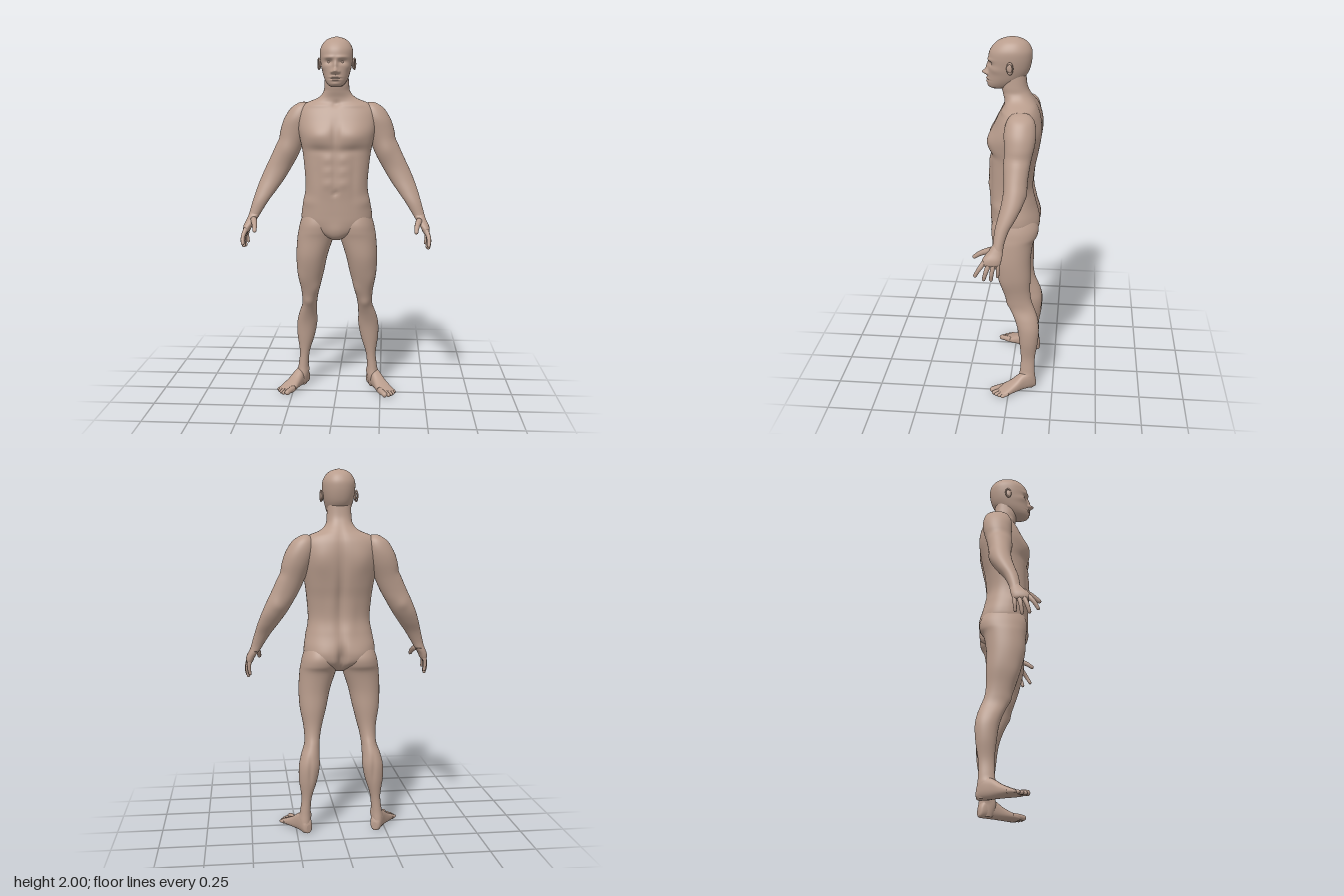
import * as THREE from 'three';

const skin = new THREE.MeshStandardMaterial({ color: 0xb99d8d });
skin.name = 'skin';

// Closed smooth surface through a stack of equal-sized rings of points
function skinRings(rings) {
  const n = rings[0].length, pos = [], idx = [];
  rings.forEach(r => r.forEach(p => pos.push(p.x, p.y, p.z)));
  for (let i = 0; i < rings.length - 1; i++) for (let j = 0; j < n; j++) {
    const a = i * n + j, b = i * n + (j + 1) % n;
    idx.push(a, a + n, b, b, a + n, b + n);
  }
  [0, rings.length - 1].forEach(i => {
    const c = new THREE.Vector3();
    rings[i].forEach(p => c.addScaledVector(p, 1 / n));
    const k = pos.length / 3;
    pos.push(c.x, c.y, c.z);
    for (let j = 0; j < n; j++) {
      const a = i * n + j, b = i * n + (j + 1) % n;
      if (i === 0) idx.push(k, a, b); else idx.push(k, b, a);
    }
  });
  // turn all faces outward, whichever way the rings run
  const P = i => new THREE.Vector3().fromArray(pos, i * 3);
  let vol = 0;
  for (let i = 0; i < idx.length; i += 3) vol += P(idx[i]).dot(P(idx[i + 1]).cross(P(idx[i + 2])));
  if (vol < 0) idx.reverse();
  const g = new THREE.BufferGeometry();
  g.setAttribute('position', new THREE.Float32BufferAttribute(pos, 3));
  g.setIndex(idx);
  g.computeVertexNormals();
  return g;
}

function spline(rows, t) {
  const f = t * (rows.length - 1), i = Math.min(Math.floor(f), rows.length - 2), u = f - i;
  const R = k => rows[Math.max(0, Math.min(rows.length - 1, k))];
  return R(i).map((b, c) => {
    const a = R(i - 1)[c], d = R(i + 1)[c], e = R(i + 2)[c];
    return b + 0.5 * u * (d - a + u * (2 * a - 5 * b + 4 * d - e + u * (3 * (b - d) + e - a)));
  });
}

// Loft rows [y, xMin, xMax, zFront, zBack]; bumps [x, y, z, rx, ry, rz, push]
function loft(rows, { bumps = [], power = 2.3, segs = 48, steps = 6, map = p => p, mirrorBumps = false } = {}) {
  const rings = [], count = (rows.length - 1) * steps;
  const pw = v => Math.sign(v) * Math.abs(v) ** (2 / power);
  for (let i = 0; i <= count; i++) {
    const [y, x0, x1, zf, zb] = spline(rows, i / count);
    const cx = (x0 + x1) / 2, cz = (zf + zb) / 2, ring = [];
    for (let j = 0; j < segs; j++) {
      const a = j / segs * Math.PI * 2;
      const p = new THREE.Vector3(cx + pw(Math.cos(a)) * (x1 - x0) / 2, y, cz + pw(Math.sin(a)) * (zf - zb) / 2);
      const out = new THREE.Vector3(p.x - cx, 0, p.z - cz).normalize();
      let push = 0;
      for (const [bx, by, bz, rx, ry, rz, amp] of bumps) {
        const dx = (mirrorBumps ? Math.abs(p.x) : p.x) - bx;
        push += amp * Math.exp(-((dx / rx) ** 2) - ((y - by) / ry) ** 2 - ((p.z - bz) / rz) ** 2);
      }
      ring.push(map(p.addScaledVector(out, push)));
    }
    rings.push(ring);
  }
  return skinRings(rings);
}

// Tapered round-ended digit along a curve
function digit(points, r0, r1) {
  const curve = new THREE.CatmullRomCurve3(points), rings = [], N = 16, tc = 1 - r1 / curve.getLength();
  for (let i = 0; i <= N; i++) {
    const t = Math.sin(i / N * Math.PI / 2), c = curve.getPointAt(t), d = curve.getTangentAt(t);
    const u = new THREE.Vector3(1, 0, 0).cross(d).normalize(), v = d.clone().cross(u);
    const e = Math.max(0, (t - tc) / (1 - tc));
    const r = (r0 + (r1 - r0) * t) * Math.sqrt(Math.max(0.0004, 1 - e * e));
    rings.push(Array.from({ length: 12 }, (_, j) => {
      const a = j / 12 * Math.PI * 2;
      return c.clone().addScaledVector(u, Math.cos(a) * r).addScaledVector(v, Math.sin(a) * r);
    }));
  }
  return skinRings(rings);
}

const both = rows => rows.map(([y, w, zf, zb]) => [y, -w, w, zf, zb]);

const torsoRows = both([[0.9, 0.03, 0.075, -0.04], [0.92, 0.07, 0.098, -0.09], [0.955, 0.15, 0.11, -0.138], [1, 0.192, 0.116, -0.15],
  [1.05, 0.195, 0.118, -0.148], [1.12, 0.18, 0.12, -0.13], [1.2, 0.171, 0.124, -0.113], [1.3, 0.178, 0.12, -0.122], [1.38, 0.188, 0.116, -0.14],
  [1.44, 0.2, 0.122, -0.15], [1.5, 0.212, 0.115, -0.155], [1.56, 0.216, 0.09, -0.155], [1.61, 0.208, 0.065, -0.148], [1.645, 0.175, 0.045, -0.135],
  [1.675, 0.105, 0.042, -0.118], [1.71, 0.073, 0.05, -0.095], [1.75, 0.067, 0.056, -0.078], [1.82, 0.062, 0.05, -0.07]]);
const torsoBumps = [
  [0.09, 1.47, 0.12, 0.07, 0.05, 0.06, 0.016], [0.09, 1.395, 0.12, 0.08, 0.02, 0.06, -0.006], [0, 1.48, 0.13, 0.018, 0.08, 0.06, -0.014], // chest
  [0.04, 1.345, 0.12, 0.03, 0.026, 0.05, 0.006], [0.04, 1.28, 0.12, 0.03, 0.026, 0.05, 0.006], [0.04, 1.215, 0.12, 0.03, 0.026, 0.05, 0.006],
  [0, 1.28, 0.12, 0.012, 0.12, 0.05, -0.006], [0, 1.165, 0.125, 0.014, 0.014, 0.05, -0.01], [0.1, 1.25, 0.11, 0.02, 0.12, 0.05, -0.005], // belly
  [0.15, 1.11, 0.05, 0.05, 0.03, 0.08, 0.007], [0, 0.95, 0.1, 0.04, 0.045, 0.05, 0.008], // flank and groin
  [0.1, 1.52, -0.15, 0.06, 0.08, 0.06, 0.013], [0, 1.36, -0.13, 0.022, 0.24, 0.06, -0.02], [0.055, 1.22, -0.12, 0.03, 0.12, 0.05, 0.006], // back
  [0.09, 0.99, -0.14, 0.07, 0.06, 0.06, 0.012], [0, 0.97, -0.15, 0.018, 0.075, 0.09, -0.045], // seat
  [0.1, 1.635, 0.04, 0.08, 0.012, 0.04, 0.007], [0, 1.64, 0.05, 0.018, 0.018, 0.03, -0.009] // collarbones
];

const headRows = both([[1.732, 0.02, 0.105, 0.05], [1.742, 0.04, 0.122, 0.01], [1.76, 0.054, 0.128, -0.02], [1.785, 0.066, 0.128, -0.055],
  [1.815, 0.075, 0.126, -0.08], [1.85, 0.083, 0.123, -0.094], [1.895, 0.089, 0.125, -0.102], [1.935, 0.087, 0.115, -0.1],
  [1.97, 0.069, 0.086, -0.08], [1.99, 0.043, 0.05, -0.048], [2, 0.01, 0.01, -0.01]]);
const headBumps = [
  [0, 1.816, 0.13, 0.014, 0.014, 0.05, 0.031], [0, 1.845, 0.13, 0.011, 0.024, 0.05, 0.015], [0.017, 1.811, 0.125, 0.008, 0.008, 0.04, 0.01], // nose
  [0.035, 1.865, 0.115, 0.02, 0.012, 0.04, -0.014], [0.033, 1.888, 0.12, 0.03, 0.009, 0.04, 0.006], [0.06, 1.84, 0.08, 0.02, 0.02, 0.04, 0.005], // eyes, cheeks
  [0, 1.785, 0.13, 0.024, 0.006, 0.04, 0.011], [0, 1.77, 0.13, 0.021, 0.006, 0.04, 0.01], [0, 1.7775, 0.13, 0.028, 0.003, 0.04, -0.006], // lips
  [0, 1.75, 0.125, 0.022, 0.012, 0.04, 0.005]
];

const armRows = [[1.652, 0.175, 0.2, -0.04, -0.08], [1.643, 0.155, 0.222, -0.01, -0.105], [1.615, 0.135, 0.26, 0.012, -0.128], [1.565, 0.135, 0.29, 0.025, -0.138],
  [1.5, 0.155, 0.313, 0.022, -0.133], [1.42, 0.19, 0.34, 0.018, -0.116], [1.35, 0.222, 0.371, 0.018, -0.106], [1.29, 0.256, 0.4, 0.018, -0.1],
  [1.23, 0.292, 0.426, 0.026, -0.086], [1.17, 0.334, 0.448, 0.04, -0.056], [1.11, 0.378, 0.466, 0.054, -0.02], [1.05, 0.416, 0.483, 0.06, 0.002], [1.01, 0.44, 0.494, 0.066, 0.008]];
const armBumps = [[0.27, 1.39, 0.02, 0.04, 0.05, 0.04, 0.008], [0.32, 1.45, -0.06, 0.03, 0.025, 0.08, -0.006],
  [0.28, 1.53, -0.06, 0.06, 0.05, 0.1, 0.004], [0.34, 1.27, -0.1, 0.03, 0.03, 0.03, 0.006]];
const palmRows = [[1.045, 0.425, 0.482, 0.058, 0.01], [1.01, 0.442, 0.497, 0.083, 0.008], [0.98, 0.462, 0.511, 0.108, 0.012],
  [0.955, 0.474, 0.514, 0.114, 0.018], [0.942, 0.482, 0.508, 0.106, 0.026]];
// digits: three joints, then base and tip radius
const fingers = {
  thumb: [[0.456, 1.012, 0.07], [0.443, 0.988, 0.122], [0.437, 0.956, 0.166], 0.018, 0.01],
  indexFinger: [[0.493, 0.965, 0.098], [0.507, 0.925, 0.127], [0.506, 0.88, 0.152], 0.014, 0.009],
  middleFinger: [[0.495, 0.96, 0.075], [0.511, 0.91, 0.092], [0.506, 0.86, 0.106], 0.014, 0.009],
  ringFinger: [[0.495, 0.96, 0.052], [0.508, 0.91, 0.061], [0.501, 0.857, 0.068], 0.013, 0.009],
  littleFinger: [[0.492, 0.965, 0.03], [0.499, 0.92, 0.031], [0.492, 0.874, 0.034], 0.012, 0.008]
};

const legRows = [[1.09, 0.06, 0.15, 0.06, -0.08], [1.04, 0.025, 0.185, 0.09, -0.125], [0.99, 0.01, 0.204, 0.106, -0.15], [0.945, 0.01, 0.214, 0.106, -0.147],
  [0.9, 0.02, 0.221, 0.1, -0.125], [0.8, 0.052, 0.227, 0.094, -0.112], [0.7, 0.074, 0.222, 0.07, -0.113], [0.61, 0.098, 0.206, 0.04, -0.112],
  [0.55, 0.111, 0.2, 0.02, -0.12], [0.5, 0.118, 0.202, 0, -0.138], [0.44, 0.12, 0.222, -0.026, -0.159], [0.38, 0.12, 0.235, -0.044, -0.168], [0.3, 0.135, 0.235, -0.055, -0.162],
  [0.2, 0.165, 0.222, -0.065, -0.146], [0.12, 0.172, 0.23, -0.062, -0.145], [0.07, 0.172, 0.236, -0.055, -0.15], [0.03, 0.176, 0.23, -0.065, -0.153], [0.004, 0.184, 0.222, -0.075, -0.142]];
const legBumps = [[0.11, 0.61, 0.02, 0.03, 0.045, 0.04, 0.008], [0.2, 0.66, 0.04, 0.03, 0.07, 0.04, 0.006], [0.16, 0.53, 0.005, 0.024, 0.028, 0.03, 0.007],
  [0.175, 0.36, -0.165, 0.012, 0.07, 0.04, -0.006], [0.172, 0.095, -0.1, 0.02, 0.016, 0.02, 0.006], [0.234, 0.085, -0.1, 0.02, 0.016, 0.02, 0.006]];
// foot rows run from heel to toes: [along, inner, outer, top, sole]
const footRows = [[-0.038, -0.014, 0.014, 0.05, 0.006], [-0.028, -0.027, 0.027, 0.075, 0.001], [0, -0.033, 0.033, 0.11, 0], [0.05, -0.034, 0.034, 0.1, 0],
  [0.1, -0.039, 0.041, 0.068, 0], [0.15, -0.047, 0.049, 0.044, 0], [0.183, -0.047, 0.05, 0.03, 0.001], [0.196, -0.043, 0.042, 0.02, 0.004]];
// toes: across, tip along, radius
const toes = [[-0.033, 0.232, 0.016], [-0.009, 0.23, 0.0115], [0.011, 0.222, 0.011], [0.029, 0.21, 0.0105], [0.045, 0.196, 0.01]];

export function createModel() {
  const model = new THREE.Group();
  model.name = 'standingFigure';
  const add = (parent, name, geometry) => {
    const m = new THREE.Mesh(geometry, skin);
    m.name = name;
    parent.add(m);
    return m;
  };

  add(model, 'torso', loft(torsoRows, { bumps: torsoBumps, mirrorBumps: true, power: 2.35, segs: 96, steps: 7 }));
  const head = new THREE.Group();
  head.name = 'head';
  model.add(head);
  add(head, 'skull', loft(headRows, { bumps: headBumps, mirrorBumps: true, power: 2.2, segs: 128, steps: 10 }));

  for (const s of [1, -1]) {
    const side = s > 0 ? 'left' : 'right';
    const map = p => p.setX(p.x * s);
    const V = (x, y, z) => new THREE.Vector3(x * s, y, z);
    const group = name => {
      const g = new THREE.Group();
      g.name = side + name;
      model.add(g);
      return g;
    };

    // eye and ear
    add(head, side + 'Eye', new THREE.SphereGeometry(0.014, 20, 14)).position.set(0.035 * s, 1.864, 0.091);
    const ear = add(head, side + 'Ear', new THREE.SphereGeometry(1, 20, 14));
    ear.scale.set(0.008, 0.026, 0.017);
    ear.position.set(0.09 * s, 1.856, 0.008);
    const rim = add(head, side + 'EarRim', new THREE.TorusGeometry(0.021, 0.0045, 10, 28));
    rim.scale.set(0.75, 1.3, 1);
    rim.rotation.y = s * (Math.PI / 2 - 0.35);
    rim.position.set(0.096 * s, 1.857, 0.006);

    // arm and hand
    const arm = group('Arm');
    add(arm, 'armMuscles', loft(armRows, { bumps: armBumps, map, power: 2.1 }));
    add(arm, 'palm', loft(palmRows, { map, segs: 32 }));
    for (const [name, [a, b, c, r0, r1]] of Object.entries(fingers))
      add(arm, name, digit([V(...a), V(...b), V(...c)], r0, r1));

    // leg and turned-out foot
    const leg = group('Leg');
    add(leg, 'legMuscles', loft(legRows, { bumps: legBumps, map, power: 2.15, segs: 56 }));
    const turn = 0.49, sn = Math.sin(turn), cs = Math.cos(turn);
    const place = (w, along, h) => V(0.203 + along * sn + w * cs, h, -0.115 + along * cs - w * sn);
    add(leg, 'foot', loft(footRows, { map: p => place(p.x, p.y, p.z), power: 2.4, segs: 40 }));
    toes.forEach(([w, tip, r], i) => add(leg, 'toe' + (i + 1),
      digit([place(w * 0.95, 0.15, r + 0.008), place(w, (0.15 + tip) / 2 + 0.01, r + 0.005), place(w, tip, r)], r, r * 0.95)));
  }
  return model;
}
